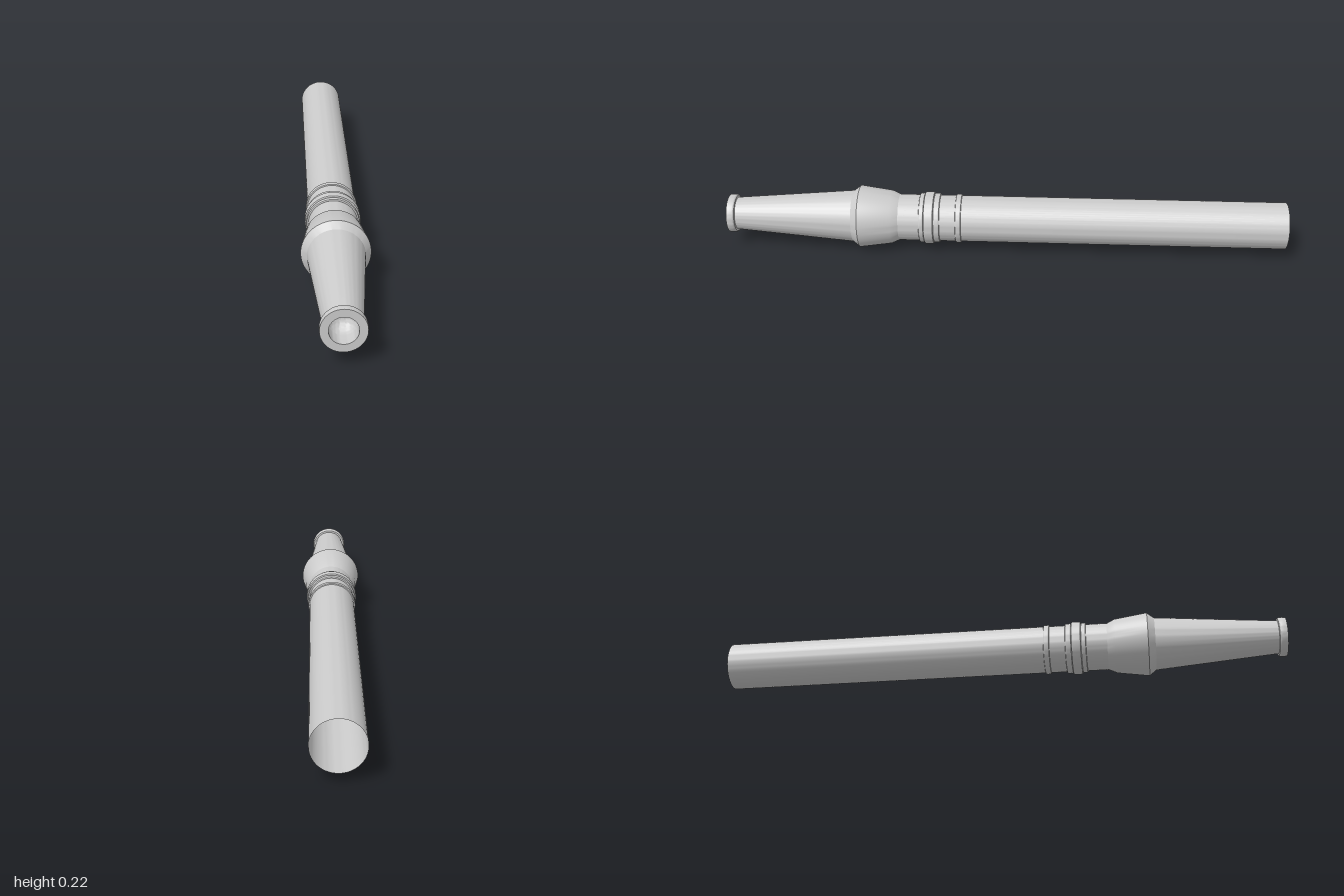
import * as THREE from 'three';
import { toCreasedNormals } from 'three/addons/utils/BufferGeometryUtils.js';

const AXIS_HEIGHT = 0.112;
const material = new THREE.MeshStandardMaterial({ color: 0xcccccc, side: THREE.DoubleSide });

// Turns a profile of [radius, z] points around the z axis
function turned(name, profile) {
  const points = profile.map(([r, z]) => new THREE.Vector2(r, z));
  const geometry = new THREE.LatheGeometry(points, 64).rotateX(Math.PI / 2);
  const mesh = new THREE.Mesh(toCreasedNormals(geometry, 0.4), material);
  mesh.name = name;
  return mesh;
}

// Raised band with softened edges
function band(name, z0, z1, radius) {
  const e = 0.004;
  return turned(name, [
    [0.08, z0], [radius - e, z0], [radius - e * 0.3, z0 + e * 0.3], [radius, z0 + e],
    [radius, z1 - e], [radius - e * 0.3, z1 - e * 0.3], [radius - e, z1], [0.08, z1],
  ]);
}

export function createModel() {
  const group = new THREE.Group();
  group.name = 'hoseWithNozzle';
  const body = new THREE.Group();
  body.name = 'hoseAssembly';
  body.position.y = AXIS_HEIGHT;
  group.add(body);

  // Long hose, open at the rear
  body.add(turned('hose', [[0.083, -1], [0.083, 0.38]]));

  // Coupling rings
  body.add(band('rearRing', 0.155, 0.176, 0.088));
  body.add(band('couplingRearRing', 0.232, 0.254, 0.089));
  body.add(band('couplingCenterRing', 0.254, 0.288, 0.094));
  body.add(band('couplingFrontRing', 0.288, 0.306, 0.089));

  // Flared collar
  body.add(turned('collar', [[0.083, 0.38], [0.096, 0.408], [0.112, 0.522], [0.093, 0.547]]));

  // Tapered barrel and its lip
  body.add(turned('nozzleBarrel', [[0.093, 0.547], [0.058, 0.972]]));
  body.add(turned('nozzleLip', [
    [0.058, 0.972], [0.065, 0.973], [0.068, 0.977], [0.069, 0.982], [0.069, 0.99], [0.068, 1], [0.043, 1],
  ]));

  // Rounded blind bore in the tip
  const bore = [[0.043, 1]];
  for (let i = 0; i <= 12; i++) {
    const a = (i / 12) * Math.PI / 2;
    bore.push([0.043 * Math.cos(a), 0.96 - 0.043 * Math.sin(a)]);
  }
  body.add(turned('nozzleBore', bore));

  return group;
}
